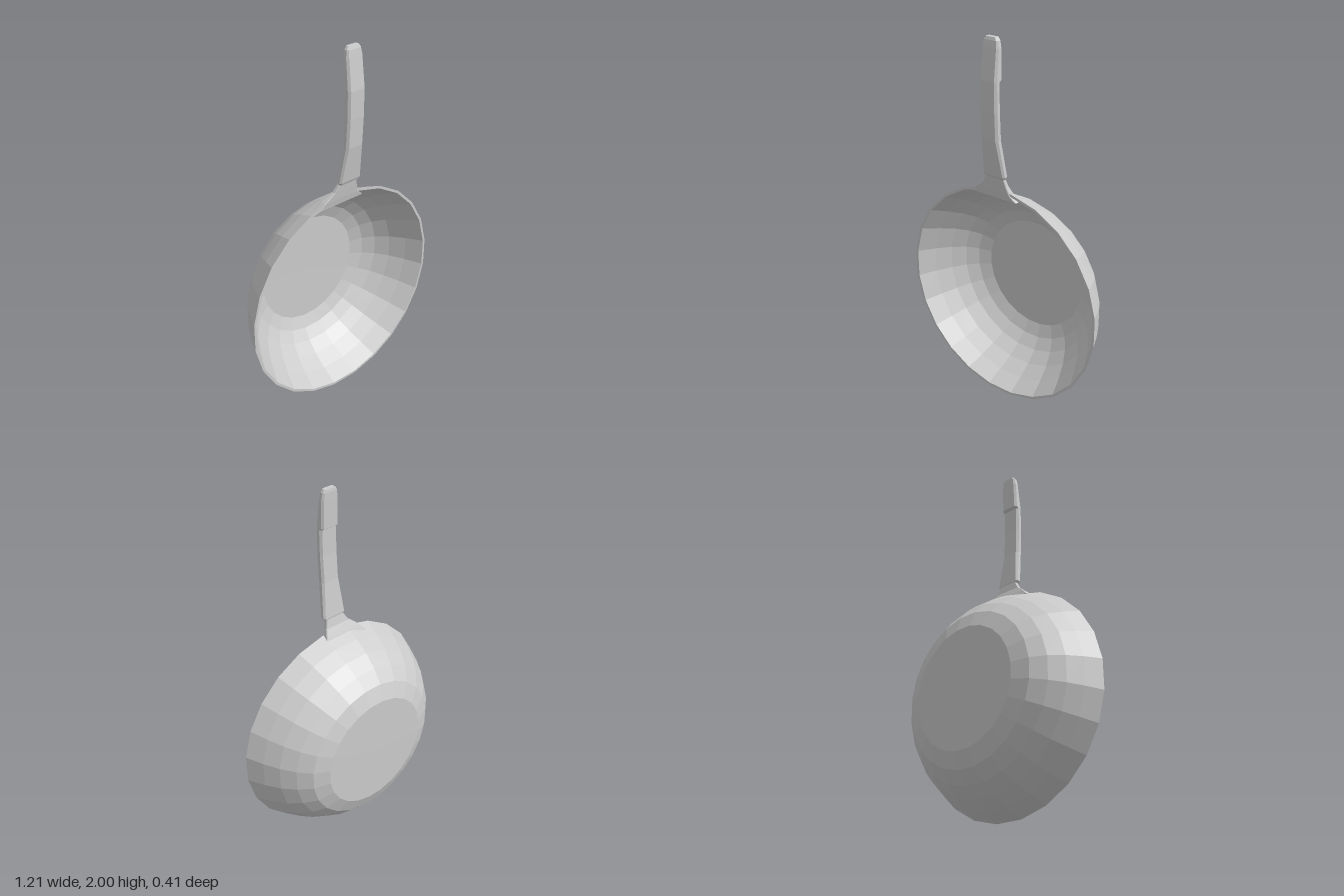
import * as THREE from 'three';

// Loft of chamfered rectangles stacked along y: [y, left, right, back, front, chamfer]
function loft(sections) {
  const pos = [], idx = [];
  for (const [y, a, b, k, f, c] of sections) {
    const ring = [
      [a + c, f], [b - c, f], [b, f - c], [b, k + c],
      [b - c, k], [a + c, k], [a, k + c], [a, f - c],
    ];
    for (const [x, z] of ring) pos.push(x, y, z);
  }
  const n = 8, last = (sections.length - 1) * n;
  for (let s = 0; s < sections.length - 1; s++) {
    for (let i = 0; i < n; i++) {
      const p = s * n + i, q = s * n + (i + 1) % n;
      idx.push(p, q, q + n, p, q + n, p + n);
    }
  }
  for (let i = 1; i < n - 1; i++) {
    idx.push(0, i + 1, i);
    idx.push(last, last + i, last + i + 1);
  }
  const g = new THREE.BufferGeometry();
  g.setAttribute('position', new THREE.Float32BufferAttribute(pos, 3));
  g.setIndex(idx);
  const flat = g.toNonIndexed();
  flat.computeVertexNormals();
  return flat;
}

export function createModel() {
  const group = new THREE.Group();
  group.name = 'fryingPan';
  const metal = new THREE.MeshStandardMaterial({ color: 0xcccccc, flatShading: true });
  metal.name = 'lightGreyMetal';

  const add = (name, geometry) => {
    const mesh = new THREE.Mesh(geometry, metal);
    mesh.name = name;
    group.add(mesh);
    return mesh;
  };

  // Bowl: outer wall up to the rim, then back down the inside to the floor
  const profile = [
    [0, -0.205], [0.32, -0.202], [0.405, -0.168], [0.47, -0.11], [0.525, -0.04],
    [0.57, 0.04], [0.612, 0.133],
    [0.598, 0.133], [0.55, 0.04], [0.5, -0.04], [0.445, -0.105], [0.385, -0.15],
    [0.315, -0.178], [0, -0.18],
  ].map(([r, h]) => new THREE.Vector2(r, h));
  const segments = 24;
  const bowl = new THREE.LatheGeometry(profile, segments, Math.PI / segments);
  bowl.rotateX(Math.PI / 2);
  add('bowl', bowl).position.y = 0.607;

  // Bracket: flares from the handle down onto the rim
  add('handleBracket', loft([
    [1.17, -0.18, 0.11, 0.085, 0.13, 0.004],
    [1.205, -0.145, 0.075, 0.1, 0.138, 0.004],
    [1.25, -0.09, 0.06, 0.122, 0.146, 0.004],
    [1.305, -0.055, 0.045, 0.135, 0.155, 0.004],
  ]));

  // Handle: wide grip base, slightly bowed shaft, rounded tip with a step behind
  add('handle', loft([
    [1.29, -0.062, 0.055, 0.134, 0.16, 0.006],
    [1.305, -0.073, 0.065, 0.132, 0.167, 0.009],
    [1.5, -0.057, 0.049, 0.157, 0.198, 0.011],
    [1.65, -0.056, 0.05, 0.165, 0.205, 0.011],
    [1.79, -0.055, 0.05, 0.166, 0.205, 0.011],
    [1.8, -0.055, 0.05, 0.152, 0.204, 0.011],
    [1.95, -0.052, 0.048, 0.149, 0.186, 0.01],
    [1.985, -0.046, 0.041, 0.149, 0.181, 0.008],
    [2.0, -0.034, 0.03, 0.151, 0.176, 0.006],
  ]));

  return group;
}
